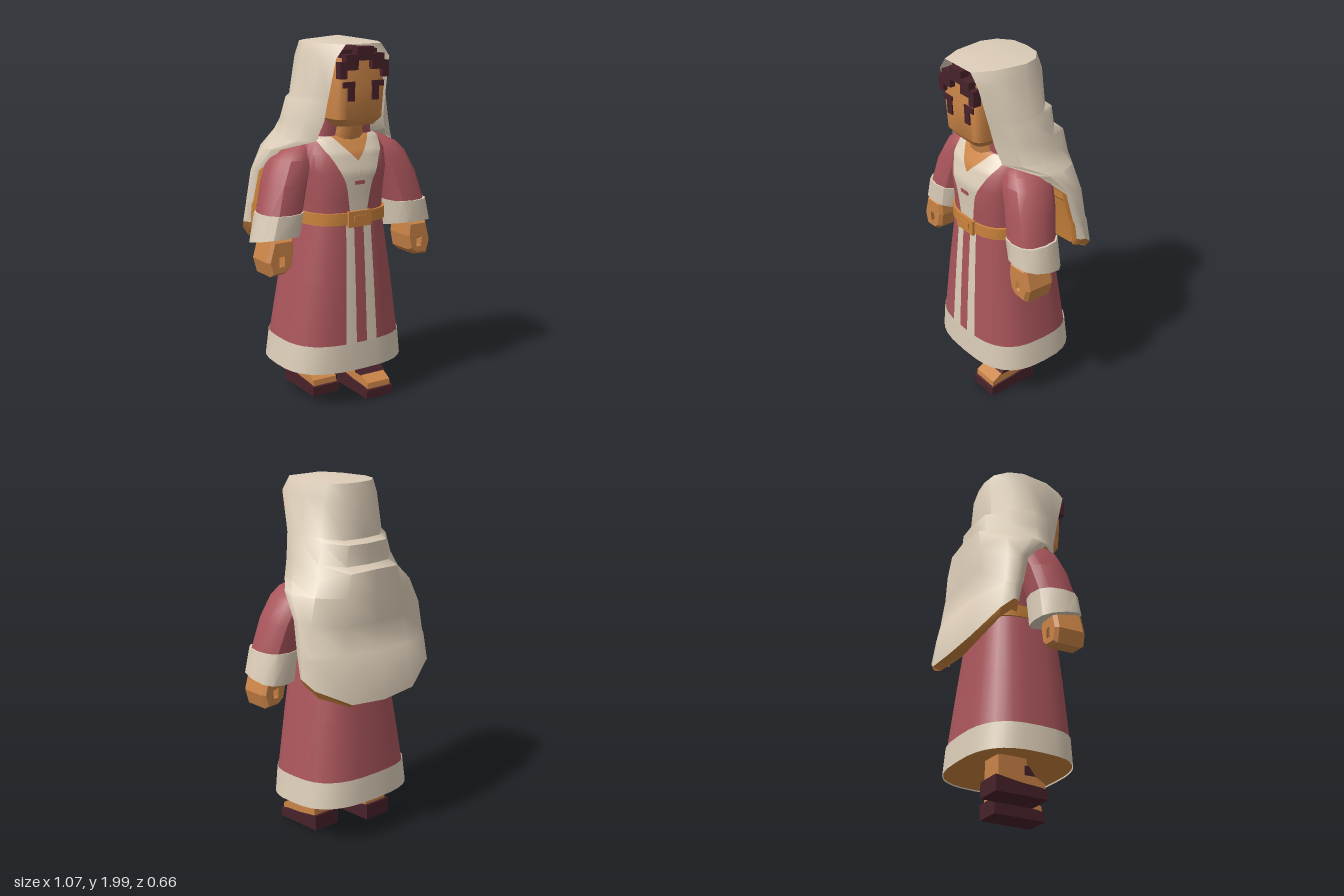
import * as THREE from 'three';
import { toCreasedNormals } from 'three/addons/utils/BufferGeometryUtils.js';

const mat = (name, color) => new THREE.MeshStandardMaterial({ name, color, side: THREE.DoubleSide });
const lerp = THREE.MathUtils.lerp;

// Surface from rows of points; closed joins the last column to the first
function grid(rows, closed = false, caps = false, crease = 0.6) {
  const n = rows[0].length, pos = rows.flat(2), idx = [];
  for (let r = 0; r < rows.length - 1; r++) {
    for (let c = 0; c < (closed ? n : n - 1); c++) {
      const a = r * n + c, b = r * n + (c + 1) % n;
      idx.push(a, a + n, b, b, a + n, b + n);
    }
  }
  if (caps) {
    const last = (rows.length - 1) * n;
    for (let c = 1; c < n - 1; c++) idx.push(0, c, c + 1, last, last + c + 1, last + c);
  }
  const g = new THREE.BufferGeometry();
  g.setAttribute('position', new THREE.Float32BufferAttribute(pos, 3));
  g.setIndex(idx);
  return toCreasedNormals(g, crease);
}

// Rounded-square loft; each ring is [y, rx, rz, cx, cz, slope of y along z]
function loft(rings, n, e, caps = true) {
  return grid(rings.map(([y, rx, rz, cx, cz, slope = 0]) => Array.from({ length: n }, (_, i) => {
    const a = (i / n) * Math.PI * 2, c = Math.cos(a), s = Math.sin(a);
    const dz = rz * Math.sign(s) * Math.abs(s) ** (2 / e);
    return [cx + rx * Math.sign(c) * Math.abs(c) ** (2 / e), y + slope * dz, cz + dz];
  })), true, caps);
}

// Front depth of a loft at x, y
function frontZ(rings, e, x, y) {
  let i = 0;
  while (i < rings.length - 2 && y > rings[i + 1][0]) i++;
  const t = (y - rings[i][0]) / (rings[i + 1][0] - rings[i][0]);
  const [, rx, rz, , cz] = rings[i].map((v, k) => lerp(v, rings[i + 1][k], t));
  return cz + rz * (1 - Math.min(1, Math.abs(x / rx)) ** e) ** (1 / e);
}

// Thin trim lying on the front of a loft; each row is [y, inner x, outer x]
function trim(rings, e, rows, side) {
  const out = [];
  for (let r = 0; r < rows.length - 1; r++) {
    for (let k = r ? 1 : 0; k <= 5; k++) {
      const [y, a, b] = rows[r].map((v, j) => lerp(v, rows[r + 1][j], k / 5));
      out.push([0, 1, 2, 3, 4].map((j) => {
        const x = lerp(a, b, j / 4);
        return [side * x, y, frontZ(rings, e, x, y) + 0.006];
      }));
    }
  }
  if (side < 0) out.reverse();
  return grid(out);
}

export function createModel() {
  const model = new THREE.Group();
  const cream = mat('cream cloth', 0xdccdb8), red = mat('rose cloth', 0xa9555b);
  const skin = mat('skin', 0xca8447), tan = mat('tan leather', 0xcb833c), dark = mat('dark brown', 0x48222a);
  const add = (name, geometry, material, parent = model) => {
    const m = new THREE.Mesh(geometry, material);
    m.name = name;
    parent.add(m);
    return m;
  };
  const box = (name, w, h, d, x, y, z, material) => {
    add(name, new THREE.BoxGeometry(w, h, d), material).position.set(x, y, z);
  };

  // Robe skirt with hem, lining and front stripes
  const skirt = [[0.36, 0.347, 0.283, 0, 0.024], [0.7, 0.295, 0.255, 0, 0.035], [1.05, 0.235, 0.222, 0, 0.045]];
  add('skirt', loft(skirt, 32, 2.8, false), red);
  add('hem', loft([[0.225, 0.368, 0.295, 0, 0.02, -0.035], [0.375, 0.35, 0.288, 0, 0.024, -0.02]], 32, 2.8, false), cream);
  add('skirtLining', loft([[0.23, 0.362, 0.29, 0, 0.02, -0.035], [0.26, 0.005, 0.005, 0, 0.02]], 32, 2.8, false), tan);

  // Robe bodice
  const torso = [[1.03, 0.235, 0.22, 0, 0.045], [1.15, 0.235, 0.22, 0, 0.05], [1.3, 0.25, 0.225, 0, 0.055],
    [1.4, 0.255, 0.2, 0, 0.05], [1.47, 0.225, 0.16, 0, 0.04], [1.52, 0.12, 0.1, 0, 0.05]];
  add('bodice', loft(torso, 32, 2.8), red);
  for (const s of [1, -1]) {
    add('frontStripe', trim(skirt, 2.8, [[0.365, 0.033, 0.1], [1.03, 0.03, 0.078]], s), cream);
    add('collar', trim(torso, 2.8, [[1.09, 0, 0.055], [1.2, 0, 0.072], [1.25, 0, 0.085], [1.36, 0, 0.14],
      [1.42, 0.06, 0.175], [1.485, 0.115, 0.2]], s), cream);
    add('neckline', trim(torso, 2.8, [[1.36, 0, 0.002], [1.42, 0, 0.06], [1.485, 0, 0.115]], s), skin);
  }
  box('collarStitch', 0.06, 0.02, 0.008, 0, 1.245, 0.284, red);

  // Belt and buckle
  add('belt', loft([[1.02, 0.25, 0.235, 0, 0.045], [1.085, 0.25, 0.235, 0, 0.045]], 32, 2.8), tan);
  box('buckle', 0.145, 0.085, 0.02, 0, 1.05, 0.28, tan);
  box('buckleTongue', 0.08, 0.035, 0.014, 0, 1.05, 0.287, tan);

  // Arms: sleeve, cuff and fist with a grip hole
  for (const s of [1, -1]) {
    const arm = new THREE.Group();
    arm.name = s > 0 ? 'leftArm' : 'rightArm';
    const dz = s > 0 ? 0.005 : -0.042;
    const shift = (rings) => rings.map(([y, rx, rz, cx, cz, slope]) => [y, rx, rz, s * cx, cz + dz, slope]);
    add('sleeve', loft(shift([[1.08, 0.112, 0.124, 0.382, 0.13], [1.25, 0.112, 0.13, 0.335, 0.105],
      [1.37, 0.11, 0.13, 0.28, 0.08], [1.42, 0.09, 0.11, 0.25, 0.07], [1.46, 0.05, 0.07, 0.21, 0.06]]), 12, 2.5), red, arm);
    add('cuff', loft(shift([[0.95, 0.124, 0.132, 0.41, 0.13, 0.22], [1.095, 0.12, 0.132, 0.382, 0.13, 0.02]]), 12, 2.5), cream, arm);
    const pts = [[0.36, 0.96], [0.355, 0.9], [0.37, 0.825], [0.4, 0.8], [0.47, 0.796], [0.488, 0.86], [0.46, 0.96]];
    const fist = new THREE.Shape(pts.map(([x, y]) => new THREE.Vector2(s * x, y)));
    fist.holes.push(new THREE.Path([[0.404, 0.83], [0.436, 0.83], [0.436, 0.885], [0.404, 0.885]]
      .map(([x, y]) => new THREE.Vector2(s * x, y))));
    const hand = add('hand', new THREE.ExtrudeGeometry(fist, { depth: 0.14, bevelSize: 0.015, bevelThickness: 0.02,
      bevelSegments: 1 }), skin, arm);
    hand.position.set(s > 0 ? 0 : -0.015, 0, 0.09 + dz);
    model.add(arm);
  }

  // Feet in sandals, left one stepping forward
  for (const [s, x, y, z] of [[1, 0.143, 0.01, 0], [-1, -0.125, 0.04, -0.135]]) {
    const foot = new THREE.Group();
    foot.name = s > 0 ? 'leftFoot' : 'rightFoot';
    foot.position.set(x, y, z);
    const side = (name, p, width, material) => {
      const g = new THREE.ExtrudeGeometry(new THREE.Shape(p.map(([u, v]) => new THREE.Vector2(u, v))),
        { depth: width, bevelEnabled: false });
      g.rotateY(-Math.PI / 2).translate(width / 2, 0, 0);
      add(name, g, material, foot);
    };
    side('sole', [[-0.02, 0.008], [0.283, 0], [0.283, 0.05], [0.24, 0.06], [0.13, 0.07], [-0.02, 0.095]], 0.17, dark);
    side('foot', [[0, 0.05], [0.272, 0.04], [0.268, 0.085], [0.205, 0.12], [0.165, 0.15], [0.155, 0.28], [0, 0.28]], 0.15, skin);
    side('strap', [[0.15, 0.115], [0.212, 0.115], [0.174, 0.165], [0.15, 0.165]], 0.156, dark);
    model.add(foot);
  }

  // Head, neck and under scarf
  add('neck', loft([[1.42, 0.11, 0.1, 0, 0.1], [1.5, 0.1, 0.11, 0, 0.11], [1.58, 0.09, 0.11, 0, 0.12]], 16, 2.5), skin);
  add('head', loft([[1.545, 0.115, 0.17, 0, 0.1], [1.585, 0.148, 0.19, 0, 0.11], [1.75, 0.155, 0.2, 0, 0.11],
    [1.9, 0.14, 0.185, 0, 0.11]], 24, 7), skin);
  add('underScarf', loft([[1.44, 0.18, 0.12, 0, 0.05], [1.55, 0.17, 0.14, 0, 0.05], [1.65, 0.165, 0.15, 0, 0.05]], 16, 4), red);

  // Hair and eyes
  box('hairCap', 0.23, 0.1, 0.25, 0, 1.89, 0.14, dark);
  box('hairParting', 0.1, 0.07, 0.05, 0, 1.922, 0.303, dark);
  for (const s of [1, -1]) {
    box('hairLock', 0.075, 0.08, 0.05, s * 0.08, 1.88, 0.303, dark);
    box('hairSide', 0.04, 0.085, 0.045, s * 0.13, 1.84, 0.302, dark);
    box('eye', 0.042, 0.1, 0.009, s * 0.075, 1.73, 0.309, dark);
    box('brow', 0.075, 0.03, 0.009, s * 0.09, 1.765, 0.31, dark);
  }

  // Veil rows from crown to hem: [back y, edge y, half width, back z, side z, edge x, edge z]
  const rows = [
    [1.97, 1.97, 0.19, -0.125, 0.03, 0.11, 0.31], [1.88, 1.9, 0.22, -0.15, 0.05, 0.165, 0.305],
    [1.68, 1.7, 0.257, -0.16, 0.05, 0.178, 0.255], [1.66, 1.68, 0.268, -0.2, 0.05, 0.18, 0.25],
    [1.55, 1.57, 0.305, -0.205, 0.04, 0.187, 0.225], [1.53, 1.47, 0.335, -0.255, 0.03, 0.22, 0.2],
    [1.4, 1.42, 0.4, -0.265, -0.04, 0.355, 0.07], [1.25, 1.29, 0.425, -0.27, -0.13, 0.41, -0.07],
    [1.11, 1.12, 0.44, -0.275, -0.16, 0.425, -0.11], [1.09, 1.1, 0.44, -0.295, -0.165, 0.43, -0.12],
    [0.83, 1, 0.45, -0.33, -0.18, 0.425, -0.14]];
  const drop = [0, 0.1, 0.7, 1, 1, 1];
  const mirror = (half) => [...half.slice(1).reverse().map(([x, y, z]) => [-x, y, z]), ...half];
  const veil = rows.map(([yb, ye, w, zb, zs, xf, zf], r) => mirror(
    [[0, zb], [w * 0.5, zb + 0.012], [w * (r > 6 ? 0.93 : 0.86), lerp(zb, zs, r > 6 ? 0.6 : 0.45)], [w, zs],
      [lerp(w, xf, 0.3), lerp(zs, zf, 0.6)], [xf, zf]].map(([x, z], i) => [x, lerp(yb, ye, drop[i]), z])));
  add('veil', grid(veil, false, false, 0.9), cream);
  add('veilCrown', grid([veil[0].map(() => [0, 2, 0.07]), veil[0]], true), cream);

  // Tan lining, and a thick lower edge that slopes down towards the inside
  const inner = veil.slice(6).map((row) => row.map(([x, y, z]) => [x * 0.93, y, z + 0.17 * (0.45 - Math.abs(x))]));
  const lip = inner[inner.length - 1].map(([x, y, z]) => [x, y - 0.12 * Math.abs(x), z]);
  add('veilLining', grid([...inner.slice(0, -1), lip]), tan);
  add('veilHem', grid([veil[veil.length - 1], lip]), tan);
  return model;
}
